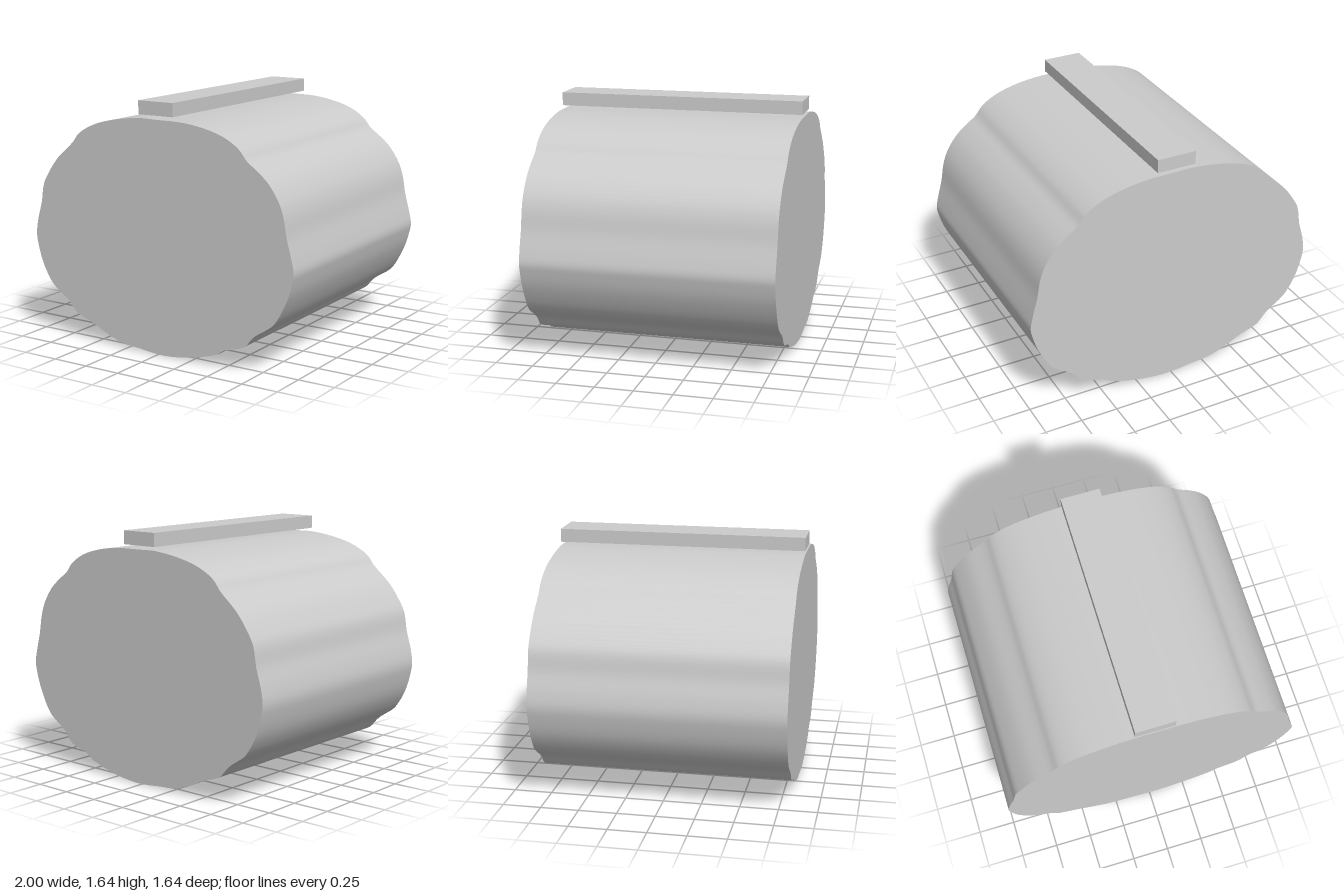
import * as THREE from 'three';
import { toCreasedNormals } from 'three/addons/utils/BufferGeometryUtils.js';

const DEPTH = 1.64;

// Uneven oval outline, counter-clockwise from the small notch at the lower right
const OUTLINE = [
  [0.47, 0.095], [0.51, 0.12], [0.63, 0.155], [0.67, 0.18], [0.72, 0.24], [0.85, 0.33], [0.89, 0.38],
  [0.96, 0.52], [0.99, 0.62], [1, 0.68], [0.985, 0.76], [0.95, 0.89], [0.925, 1.02], [0.89, 1.11],
  [0.82, 1.21], [0.74, 1.28], [0.67, 1.33], [0.62, 1.39], [0.53, 1.45], [0.4, 1.495], [0.22, 1.525],
  [0, 1.53], [-0.15, 1.53], [-0.4, 1.49], [-0.53, 1.445], [-0.62, 1.39], [-0.67, 1.33], [-0.8, 1.215],
  [-0.88, 1.11], [-0.925, 1.03], [-0.95, 0.9], [-0.985, 0.78], [-1, 0.68], [-0.985, 0.59], [-0.95, 0.48],
  [-0.9, 0.39], [-0.86, 0.34], [-0.74, 0.255], [-0.67, 0.18], [-0.63, 0.16], [-0.54, 0.13], [-0.42, 0.075],
  [-0.29, 0.03], [-0.16, 0.018], [-0.05, 0.006], [0.05, 0.002], [0.2, 0.017], [0.35, 0.05], [0.46, 0.085],
];

export function createModel() {
  const group = new THREE.Group();
  const material = new THREE.MeshStandardMaterial({ color: 0xcccccc });

  // Body: smooth outline extruded along z, with flat ends
  const curve = new THREE.CatmullRomCurve3(
    OUTLINE.map(([x, y]) => new THREE.Vector3(x, y, 0)), false, 'centripetal');
  const shape = new THREE.Shape(curve.getPoints(192).map((p) => new THREE.Vector2(p.x, p.y)));
  const extruded = new THREE.ExtrudeGeometry(shape, { depth: DEPTH, bevelEnabled: false });
  extruded.translate(0, 0, -DEPTH / 2);
  const body = new THREE.Mesh(toCreasedNormals(extruded, 0.7), material);
  body.name = 'body';
  group.add(body);

  // Bar floating just above the crown
  const bar = new THREE.Mesh(new THREE.BoxGeometry(0.262, 0.088, DEPTH), material);
  bar.name = 'topBar';
  bar.position.set(-0.001, 1.599, 0);
  group.add(bar);

  return group;
}
